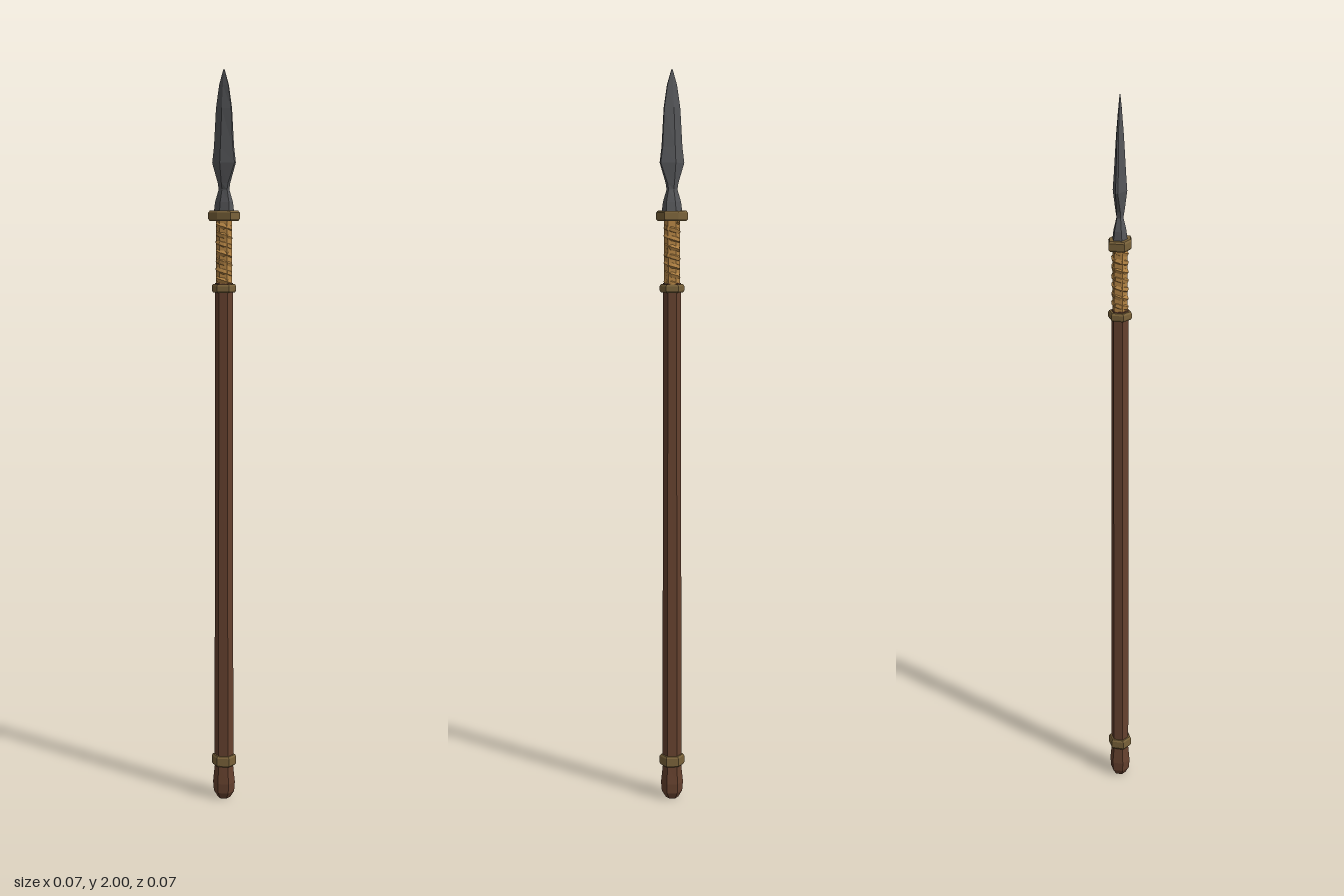
import * as THREE from 'three';

const mat = (name, color) => {
  const m = new THREE.MeshStandardMaterial({ color, flatShading: true });
  m.name = name;
  return m;
};

// Six-sided loft; each section is [y, half width x, half depth z, half width of the z faces]
function hexLoft(sections) {
  const pos = [];
  const ring = ([y, x, z, e]) => [[x, y, 0], [e, y, z], [-e, y, z], [-x, y, 0], [-e, y, -z], [e, y, -z]];
  const rings = sections.map(ring);
  const tri = (a, b, c) => pos.push(...a, ...b, ...c);
  for (let i = 0; i < rings.length - 1; i++) {
    for (let j = 0; j < 6; j++) {
      const k = (j + 1) % 6, lo = rings[i], hi = rings[i + 1];
      tri(lo[j], hi[j], hi[k]);
      tri(lo[j], hi[k], lo[k]);
    }
  }
  // End caps
  const first = rings[0], last = rings[rings.length - 1];
  for (let j = 1; j < 5; j++) {
    tri(first[0], first[j], first[j + 1]);
    tri(last[0], last[j + 1], last[j]);
  }
  const g = new THREE.BufferGeometry();
  g.setAttribute('position', new THREE.Float32BufferAttribute(pos, 3));
  g.computeVertexNormals();
  return g;
}

export function createModel() {
  const group = new THREE.Group();
  const wood = mat('dark wood', 0x65412e);
  const brass = mat('aged brass', 0x79623a);
  const cord = mat('tan cord', 0xb58545);
  const steel = mat('dark steel', 0x545558);
  const add = (name, geometry, material) => {
    const mesh = new THREE.Mesh(geometry, material);
    mesh.name = name;
    group.add(mesh);
  };

  // Long hexagonal shaft with a rounded butt
  add('shaft', hexLoft([[0.1, 0.025, 0.023, 0.013], [1.44, 0.023, 0.021, 0.012]]), wood);
  add('butt', hexLoft([
    [0, 0.017, 0.015, 0.009], [0.018, 0.027, 0.025, 0.014],
    [0.045, 0.029, 0.027, 0.015], [0.1, 0.024, 0.022, 0.012],
  ]), wood);

  // Metal collars with bevelled rims
  const collar = (name, y0, y1, x, z, e) => add(name, hexLoft([
    [y0, x * 0.9, z * 0.9, e * 0.9], [y0 + 0.005, x, z, e],
    [y1 - 0.005, x, z, e], [y1, x * 0.9, z * 0.9, e * 0.9],
  ]), brass);
  collar('buttCollar', 0.095, 0.125, 0.033, 0.03, 0.017);
  collar('lowerWrapCollar', 1.415, 1.437, 0.032, 0.029, 0.016);
  collar('headCollar', 1.605, 1.632, 0.031, 0.037, 0.021);

  // Cord wound around the neck of the shaft
  add('wrapCore', hexLoft([[1.43, 0.02, 0.019, 0.011], [1.61, 0.02, 0.019, 0.011]]), cord);
  const turns = 7, points = [];
  for (let i = 0; i <= turns * 8; i++) {
    const a = (i / 8) * Math.PI * 2;
    points.push(new THREE.Vector3(Math.cos(a) * 0.014, 1.437 + 0.168 * i / (turns * 8), Math.sin(a) * 0.014));
  }
  add('cordWrap', new THREE.TubeGeometry(new THREE.CatmullRomCurve3(points), turns * 10, 0.0095, 6), cord);

  // Socket, narrow neck and leaf-shaped blade, broad along z
  add('spearhead', hexLoft([
    [1.62, 0.021, 0.026, 0.012], [1.655, 0.017, 0.023, 0.009],
    [1.688, 0.009, 0.014, 0.005], [1.705, 0.012, 0.017, 0.005],
    [1.758, 0.019, 0.037, 0.003], [1.8, 0.016, 0.031, 0.003],
    [1.9, 0.01, 0.025, 0.002], [1.96, 0.005, 0.015, 0.0015],
    [2, 0.001, 0.002, 0.0005],
  ]), steel);
  return group;
}
